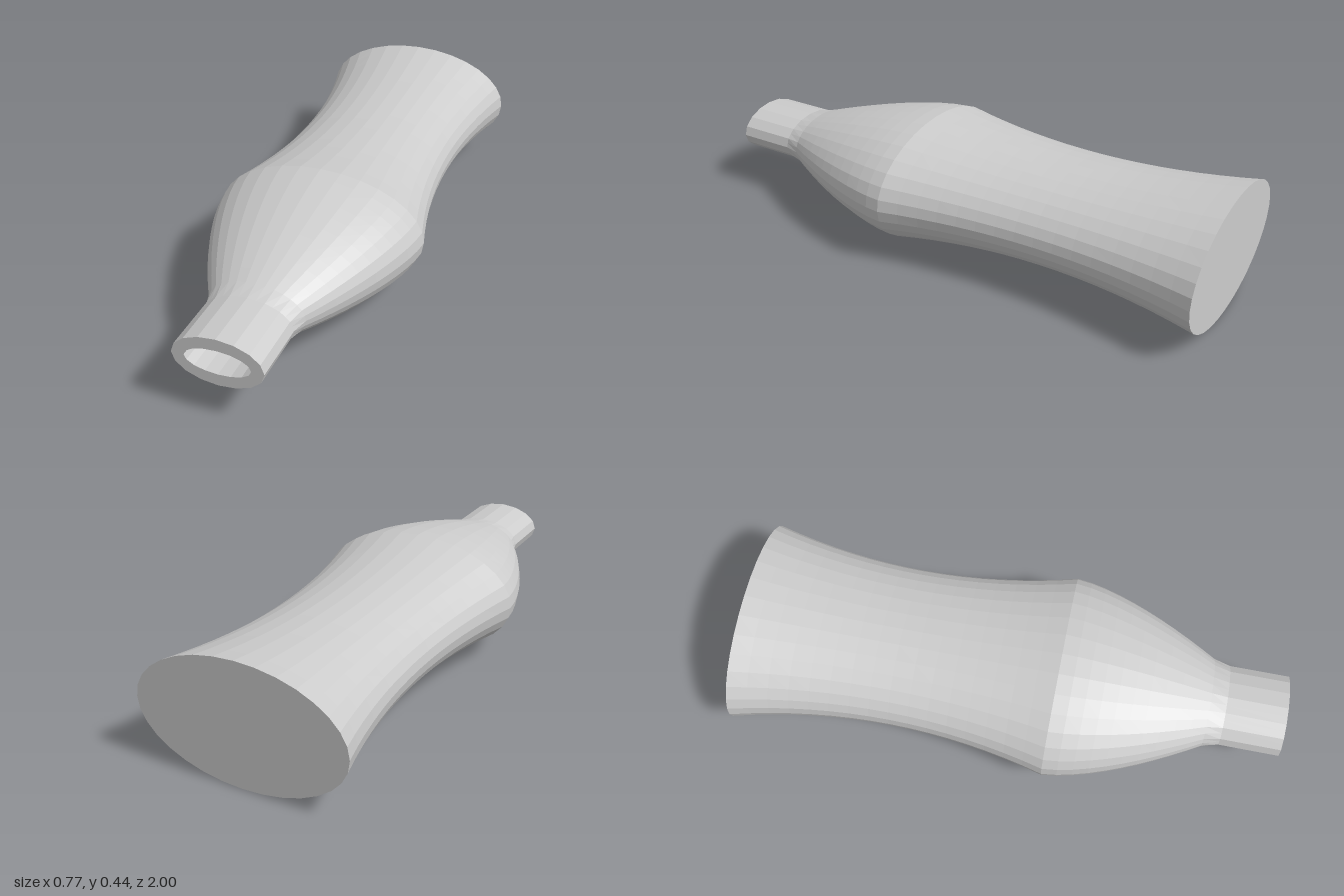
import * as THREE from 'three';

const SIDES = 32, CENTRE_Y = 0.222, WALL = 0.043;
const material = new THREE.MeshStandardMaterial({ color: 0xcccccc, flatShading: true });

// One elliptical ring; a coarse ring keeps every second corner and flattens the rest.
function ringPoints({ z, rx, ry, coarse }) {
  const at = (i) => {
    const a = (i / SIDES) * Math.PI * 2;
    return new THREE.Vector3(rx * Math.cos(a), CENTRE_Y + ry * Math.sin(a), z);
  };
  return Array.from({ length: SIDES }, (_, i) =>
    coarse && i % 2 ? at(i - 1).lerp(at(i + 1), 0.5) : at(i));
}

// Skin a list of rings.
function loft(name, rings) {
  const positions = rings.flatMap((r) => ringPoints(r).flatMap((p) => p.toArray()));
  const index = [];
  for (let k = 0; k < rings.length - 1; k++) {
    for (let i = 0; i < SIDES; i++) {
      const j = (i + 1) % SIDES;
      const a = k * SIDES + i, b = k * SIDES + j;
      const c = b + SIDES, d = a + SIDES;
      if (rings[k].rx > 0) index.push(a, b, c);
      if (rings[k + 1].rx > 0) index.push(a, c, d);
    }
  }
  const geometry = new THREE.BufferGeometry();
  geometry.setAttribute('position', new THREE.Float32BufferAttribute(positions, 3));
  geometry.setIndex(index);
  geometry.computeVertexNormals();
  const mesh = new THREE.Mesh(geometry, material);
  mesh.name = name;
  return mesh;
}

export function createModel() {
  const group = new THREE.Group();
  group.name = 'bottle';

  // Waisted lower body, narrowest halfway along
  const body = [];
  for (let i = 0; i <= 16; i++) {
    const t = (i / 16) * 2 - 1;
    const dip = 1 - t * t;
    body.push({ z: -0.417 + 0.583 * t, rx: 0.387 - 0.077 * dip, ry: 0.221 - 0.047 * dip });
  }

  // Shoulder, curving in towards the neck
  const shoulder = [];
  for (let i = 0; i <= 10; i++) {
    const u = i / 10, drop = u ** 1.5;
    shoulder.push({ z: 0.166 + 0.554 * u, rx: 0.387 - 0.217 * drop, ry: 0.221 - 0.121 * drop });
  }

  // Straight neck with fewer sides
  const neck = [
    shoulder[10],
    { z: 0.78, rx: 0.155, ry: 0.088, coarse: true },
    { z: 1, rx: 0.155, ry: 0.088, coarse: true },
  ];

  // Hollow inside, one wall thickness in from the outer skin
  const inset = (r) => ({ ...r, z: Math.max(r.z, -1 + WALL), rx: r.rx - WALL, ry: r.ry - WALL });
  const inside = [...body, ...shoulder.slice(1), ...neck.slice(1)].map(inset).reverse();
  const floor = { z: -1 + WALL, rx: 0, ry: 0 };

  group.add(
    loft('base', [{ z: -1, rx: 0, ry: 0 }, body[0]]),
    loft('body', body),
    loft('shoulder', shoulder),
    loft('neck', neck),
    loft('rim', [neck[2], inset(neck[2])]),
    loft('interior', [...inside, floor]),
  );
  return group;
}
